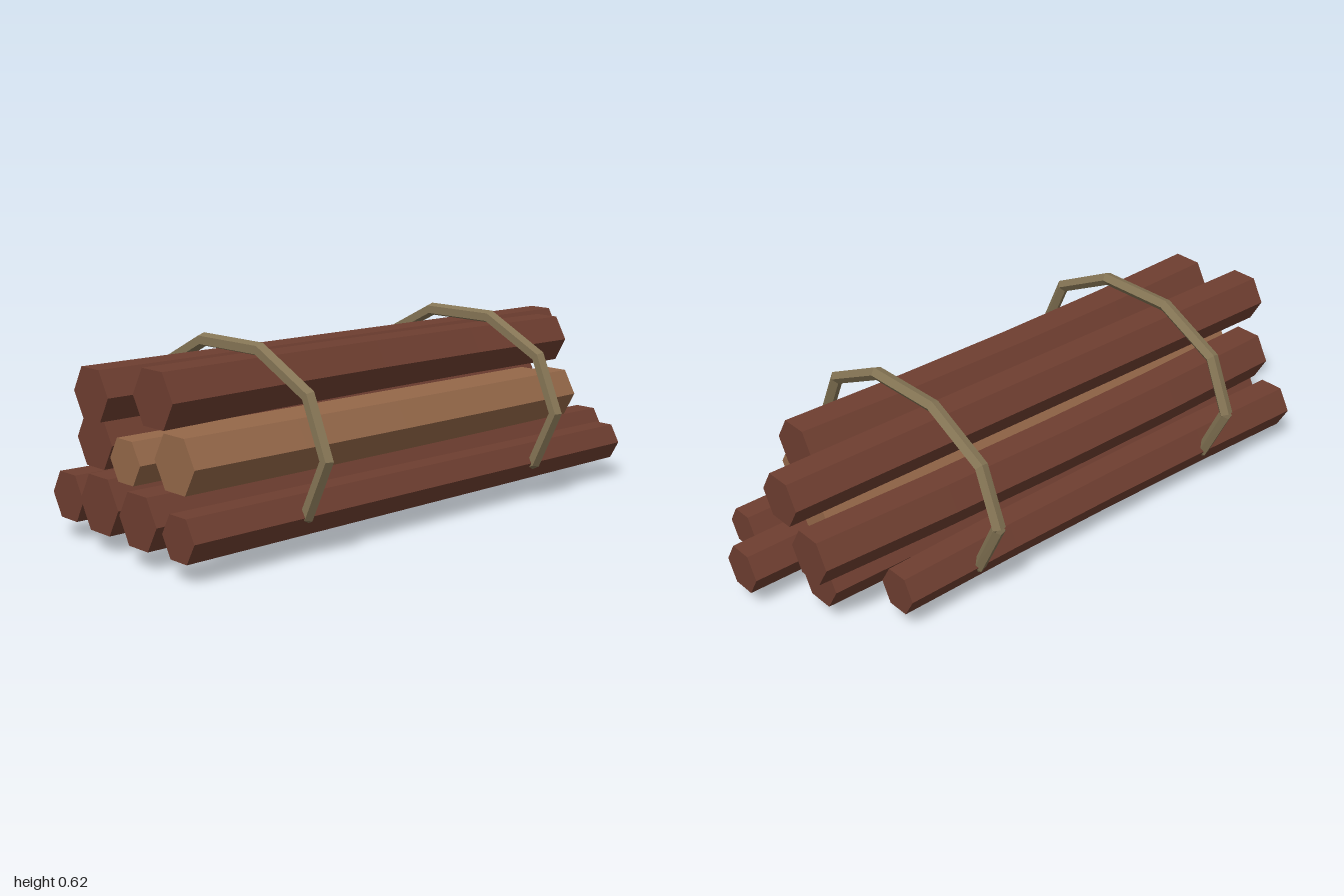
import * as THREE from 'three';

// Polyline loop around the bundle, left open at its rear seam
class RopeLoop extends THREE.Curve {
  corner(i) {
    const a = Math.PI + (i * Math.PI) / 5;
    return new THREE.Vector3(0.005 * Math.sin(a * 2), 0.308 + 0.302 * Math.sin(a), 0.439 * Math.cos(a));
  }
  getPoint(t, target = new THREE.Vector3()) {
    const s = t * 10, i = Math.min(Math.floor(s + 1e-9), 9);
    return target.copy(this.corner(i)).lerp(this.corner(i + 1), s - i);
  }
  getPointAt(u, target) { return this.getPoint(u, target); }
  getTangentAt(u, target) { return this.getTangent(u, target); }
}

// Six-sided log along x: tapered, leaning and slightly bowed in z
function logGeometry({ x, y, z, r, bow = 0 }) {
  const length = x[1] - x[0];
  const g = new THREE.CylinderGeometry(r[1], r[0], length, 6, 4);
  g.rotateZ(-Math.PI / 2);
  const p = g.attributes.position;
  for (let i = 0; i < p.count; i++) {
    const t = p.getX(i) / length + 0.5;
    p.setXYZ(i,
      x[0] + t * length,
      p.getY(i) + THREE.MathUtils.lerp(y[0], y[1], t),
      p.getZ(i) + THREE.MathUtils.lerp(z[0], z[1], t) + bow * 4 * t * (1 - t));
  }
  g.computeVertexNormals();
  return g;
}

export function createModel() {
  const make = (name, color, extra = {}) =>
    Object.assign(new THREE.MeshStandardMaterial({ color, flatShading: true, ...extra }), { name });
  const darkWood = make('dark wood', 0x6e3e30);
  const lightWood = make('light wood', 0x956849);
  const ropeMat = make('rope', 0x857555, { side: THREE.DoubleSide });

  const model = new THREE.Group();
  model.name = 'logBundle';

  // Each pair holds the values at the -x end and the +x end
  const logs = [
    { name: 'topFrontLog', x: [-0.925, 0.78], y: [0.488, 0.486], z: [0.095, 0.092], r: [0.098, 0.088], bow: -0.022 },
    { name: 'topRearLog', x: [-1, 0.97], y: [0.483, 0.482], z: [-0.108, -0.104], r: [0.089, 0.083] },
    { name: 'middleFrontLog', x: [-0.93, 0.71], y: [0.315, 0.315], z: [0.2, 0.196], r: [0.096, 0.09], bow: 0.008, light: true },
    { name: 'middleCoreLog', x: [-0.97, 0.79], y: [0.297, 0.296], z: [0.013, 0.005], r: [0.076, 0.072], light: true },
    { name: 'middleRearLog', x: [-0.93, 0.945], y: [0.316, 0.316], z: [-0.205, -0.196], r: [0.093, 0.086], bow: -0.02 },
    { name: 'bottomFrontLog', x: [-0.99, 0.875], y: [0.128, 0.128], z: [0.293, 0.287], r: [0.076, 0.068] },
    { name: 'bottomInnerFrontLog', x: [-0.995, 1], y: [0.141, 0.134], z: [0.105, 0.1], r: [0.093, 0.078] },
    { name: 'bottomInnerRearLog', x: [-0.98, 0.86], y: [0.145, 0.143], z: [-0.115, -0.107], r: [0.1, 0.088] },
    { name: 'bottomRearLog', x: [-0.97, 0.71], y: [0.134, 0.133], z: [-0.3, -0.297], r: [0.084, 0.074], bow: 0.013 },
  ];
  for (const log of logs) {
    const mesh = new THREE.Mesh(logGeometry(log), log.light ? lightWood : darkWood);
    mesh.name = log.name;
    model.add(mesh);
  }

  // Two rope ties
  const ropeGeometry = new THREE.TubeGeometry(new RopeLoop(), 10, 0.0225, 5, false);
  for (const [name, x] of [['rightRope', -0.566], ['leftRope', 0.432]]) {
    const rope = new THREE.Mesh(ropeGeometry, ropeMat);
    rope.name = name;
    rope.position.x = x;
    model.add(rope);
  }
  return model;
}
